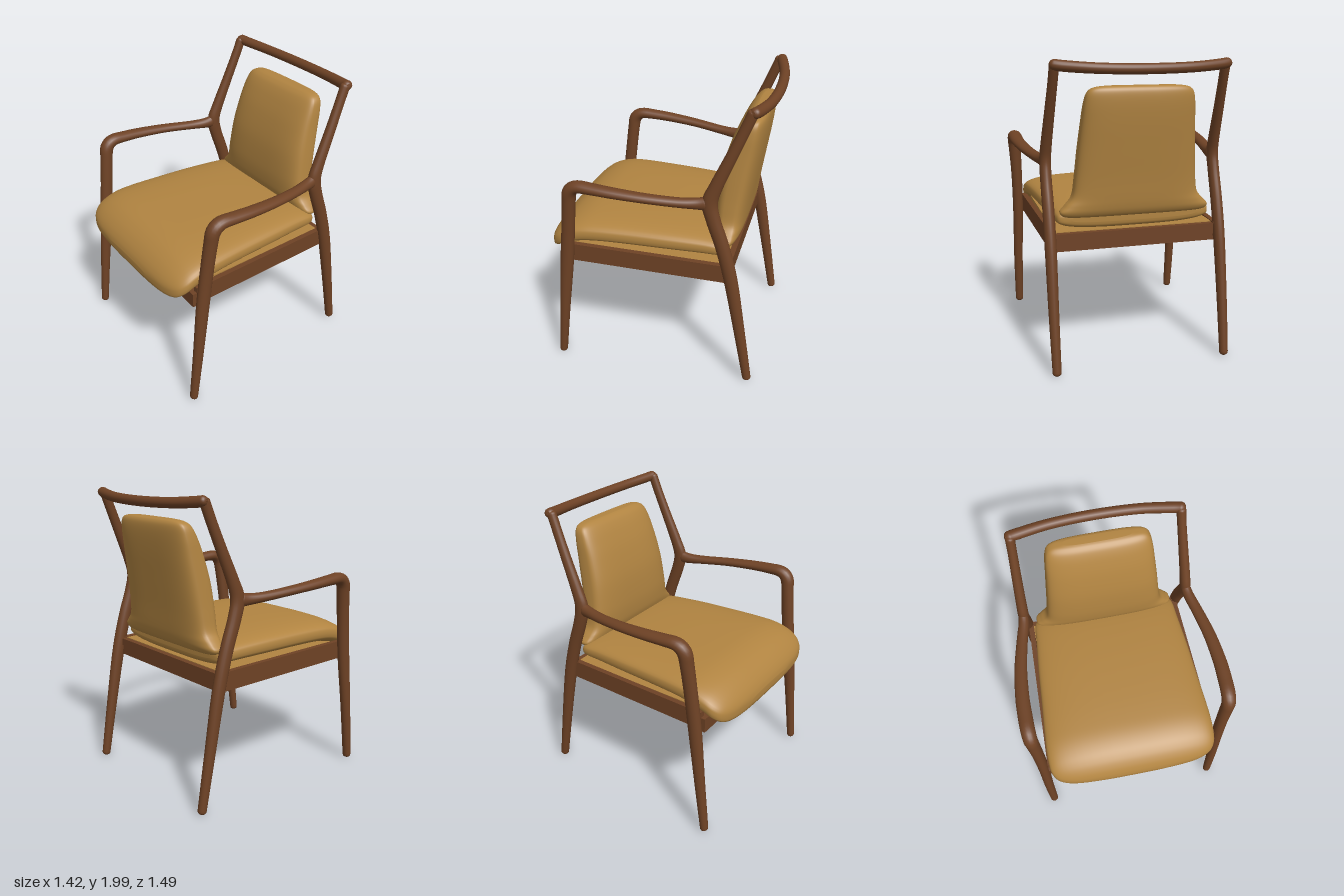
import * as THREE from 'three';

// Smooth interpolation through rows of numbers, t from 0 to 1
function sample(rows, t) {
  const n = rows.length - 1;
  const i = Math.min(Math.floor(t * n), n - 1);
  const f = t * n - i;
  const row = k => rows[Math.max(0, Math.min(n, k))];
  return rows[0].map((_, c) => {
    const [a, b, d, e] = [row(i - 1)[c], row(i)[c], row(i + 1)[c], row(i + 2)[c]];
    return b + 0.5 * f * (d - a + f * (2 * a - 5 * b + 4 * d - e + f * (3 * (b - d) + e - a)));
  });
}

// Skin a list of rings (arrays of Vector3) and close both ends
function skin(rings) {
  const m = rings[0].length, pos = [], index = [];
  rings.forEach(r => r.forEach(p => pos.push(p.x, p.y, p.z)));
  for (let i = 0; i < rings.length - 1; i++) {
    for (let j = 0; j < m; j++) {
      const a = i * m + j, b = i * m + (j + 1) % m;
      index.push(a, b, a + m, b, b + m, a + m);
    }
  }
  [0, rings.length - 1].forEach((k, end) => {
    const c = new THREE.Vector3();
    rings[k].forEach(p => c.addScaledVector(p, 1 / m));
    const ci = pos.length / 3;
    pos.push(c.x, c.y, c.z);
    for (let j = 0; j < m; j++) {
      const a = k * m + j, b = k * m + (j + 1) % m;
      if (end) index.push(ci, a, b); else index.push(ci, b, a);
    }
  });
  const g = new THREE.BufferGeometry();
  g.setAttribute('position', new THREE.Float32BufferAttribute(pos, 3));
  g.setIndex(index);
  g.computeVertexNormals();
  return g;
}

// Shaped wooden member: rows of [x, y, z, radius along ref, other radius]
function member(rows, ref, dome = 0.02, steps = 72, sides = 20) {
  const at = t => new THREE.Vector3(...sample(rows, t).slice(0, 3));
  const first = at(0), last = at(1), rings = [];
  for (let i = 0; i <= steps; i++) {
    const t = 0.5 - 0.5 * Math.cos(Math.PI * i / steps);
    const [, , , ra, rb] = sample(rows, t);
    const p = at(t);
    const T = at(Math.min(1, t + 0.004)).sub(at(Math.max(0, t - 0.004))).normalize();
    const u = ref.clone().addScaledVector(T, -ref.dot(T)).normalize();
    const v = T.clone().cross(u);
    const d = Math.min(1, Math.min(p.distanceTo(first), p.distanceTo(last)) / dome);
    const s = Math.max(0.35, Math.sqrt(1 - (1 - d) ** 2));
    rings.push(Array.from({ length: sides }, (_, j) => {
      const a = j / sides * Math.PI * 2;
      return p.clone().addScaledVector(u, ra * s * Math.cos(a)).addScaledVector(v, rb * s * Math.sin(a));
    }));
  }
  return skin(rings);
}

// Upholstered pad: rows of [station, half width, low, high], superellipse sections
function pad(rows, power, place, steps = 66, sides = 56) {
  const e = 2 / power, rings = [];
  const bend = c => Math.sign(c) * Math.abs(c) ** e;
  for (let i = 0; i <= steps; i++) {
    const [s, w, lo, hi] = sample(rows, i / steps);
    rings.push(Array.from({ length: sides }, (_, j) => {
      const a = j / sides * Math.PI * 2;
      return place(s, w, (lo + hi) / 2, (hi - lo) / 2, bend(Math.cos(a)), bend(Math.sin(a)));
    }));
  }
  return skin(rings);
}

export function createModel() {
  const group = new THREE.Group();
  const wood = new THREE.MeshStandardMaterial({ color: 0x6e4225 });
  wood.name = 'walnutWood';
  const fabric = new THREE.MeshStandardMaterial({ color: 0xb18441 });
  fabric.name = 'ochreFabric';
  const add = (name, geometry, material) => {
    const mesh = new THREE.Mesh(geometry, material);
    mesh.name = name;
    group.add(mesh);
    return mesh;
  };
  const X = new THREE.Vector3(1, 0, 0), Y = new THREE.Vector3(0, 1, 0);

  // Front leg flowing into the armrest, and the kinked back post
  const legAndArm = [
    [0.64, 0.005, 0.65, 0.029, 0.027], [0.642, 0.4, 0.607, 0.034, 0.036],
    [0.638, 0.8, 0.562, 0.038, 0.046], [0.643, 1.08, 0.53, 0.04, 0.045],
    [0.652, 1.27, 0.508, 0.044, 0.045], [0.658, 1.355, 0.492, 0.047, 0.047],
    [0.661, 1.395, 0.44, 0.048, 0.041], [0.664, 1.395, 0.34, 0.048, 0.036],
    [0.663, 1.386, 0.2, 0.046, 0.033], [0.645, 1.37, 0.0, 0.042, 0.03],
    [0.608, 1.352, -0.2, 0.038, 0.031], [0.58, 1.347, -0.32, 0.036, 0.038],
    [0.57, 1.352, -0.39, 0.034, 0.05],
  ];
  const backPost = [
    [0.575, 0.005, -0.7, 0.029, 0.029], [0.576, 0.4, -0.63, 0.034, 0.037],
    [0.574, 0.8, -0.555, 0.038, 0.045], [0.573, 1.05, -0.49, 0.038, 0.046],
    [0.573, 1.24, -0.425, 0.037, 0.047], [0.571, 1.36, -0.4, 0.037, 0.05],
    [0.566, 1.48, -0.437, 0.035, 0.042], [0.556, 1.68, -0.52, 0.032, 0.036],
    [0.547, 1.85, -0.589, 0.03, 0.034], [0.542, 1.975, -0.637, 0.031, 0.034],
  ];
  for (const [side, s] of [['left', 1], ['right', -1]]) {
    const mirror = rows => rows.map(([x, ...rest]) => [x * s, ...rest]);
    add(side + 'FrontLegAndArm', member(mirror(legAndArm), X), wood);
    add(side + 'BackPost', member(mirror(backPost), X), wood);
    // Side seat rail, narrowing toward the back
    const rail = add(side + 'SeatRail', new THREE.BoxGeometry(0.036, 0.125, 1.12), wood);
    rail.position.set(s * 0.567, 0.849, 0.02);
    rail.rotation.set(-0.012, s * 0.03, 0);
  }

  // Curved top rail
  add('topRail', member([
    [-0.572, 1.967, -0.632, 0.032, 0.034], [-0.5, 1.953, -0.655, 0.034, 0.036],
    [-0.28, 1.938, -0.698, 0.033, 0.034], [0, 1.933, -0.713, 0.033, 0.034],
    [0.28, 1.938, -0.698, 0.033, 0.034], [0.5, 1.953, -0.655, 0.034, 0.036],
    [0.572, 1.967, -0.632, 0.032, 0.034],
  ], Y, 0.03), wood);

  // Front and rear seat rails
  const frontRail = add('frontSeatRail', new THREE.BoxGeometry(1.2, 0.1, 0.05), wood);
  frontRail.position.set(0, 0.83, 0.585);
  const rearRail = add('rearSeatRail', new THREE.BoxGeometry(1.12, 0.115, 0.045), wood);
  rearRail.position.set(0, 0.838, -0.515);

  // Webbing panel under the cushion
  const panel = add('seatUnderside', new THREE.BoxGeometry(1.07, 0.06, 1.07), fabric);
  panel.position.set(0, 0.87, 0.035);

  // Seat cushion, back to drooping front nose
  add('seatCushion', pad([
    [-0.5, 0.42, 0.95, 1.0], [-0.49, 0.495, 0.92, 1.035], [-0.45, 0.52, 0.903, 1.058],
    [-0.33, 0.53, 0.9, 1.075], [-0.1, 0.55, 0.9, 1.087], [0.15, 0.566, 0.9, 1.092],
    [0.35, 0.58, 0.898, 1.091], [0.48, 0.588, 0.885, 1.083], [0.58, 0.589, 0.855, 1.057],
    [0.65, 0.577, 0.82, 1.018], [0.7, 0.53, 0.802, 0.972], [0.73, 0.42, 0.815, 0.928],
    [0.744, 0.22, 0.845, 0.89],
  ], 3, (s, w, mid, half, a, b) => new THREE.Vector3(w * a, mid + half * b, s)), fabric);

  // Back cushion, flaring at the bottom and leaning back
  add('backCushion', pad([
    [0.99, 0.42, -0.52, -0.45], [1.0, 0.48, -0.545, -0.425], [1.03, 0.5, -0.565, -0.405],
    [1.07, 0.465, -0.577, -0.388], [1.13, 0.42, -0.587, -0.376], [1.25, 0.402, -0.603, -0.374],
    [1.43, 0.386, -0.63, -0.393], [1.6, 0.37, -0.655, -0.437], [1.72, 0.358, -0.668, -0.485],
    [1.79, 0.34, -0.668, -0.525], [1.82, 0.3, -0.655, -0.557], [1.83, 0.22, -0.635, -0.58],
  ], 3.4, (s, w, mid, half, a, b) => new THREE.Vector3(w * b, s, mid + half * a)), fabric);

  return group;
}
